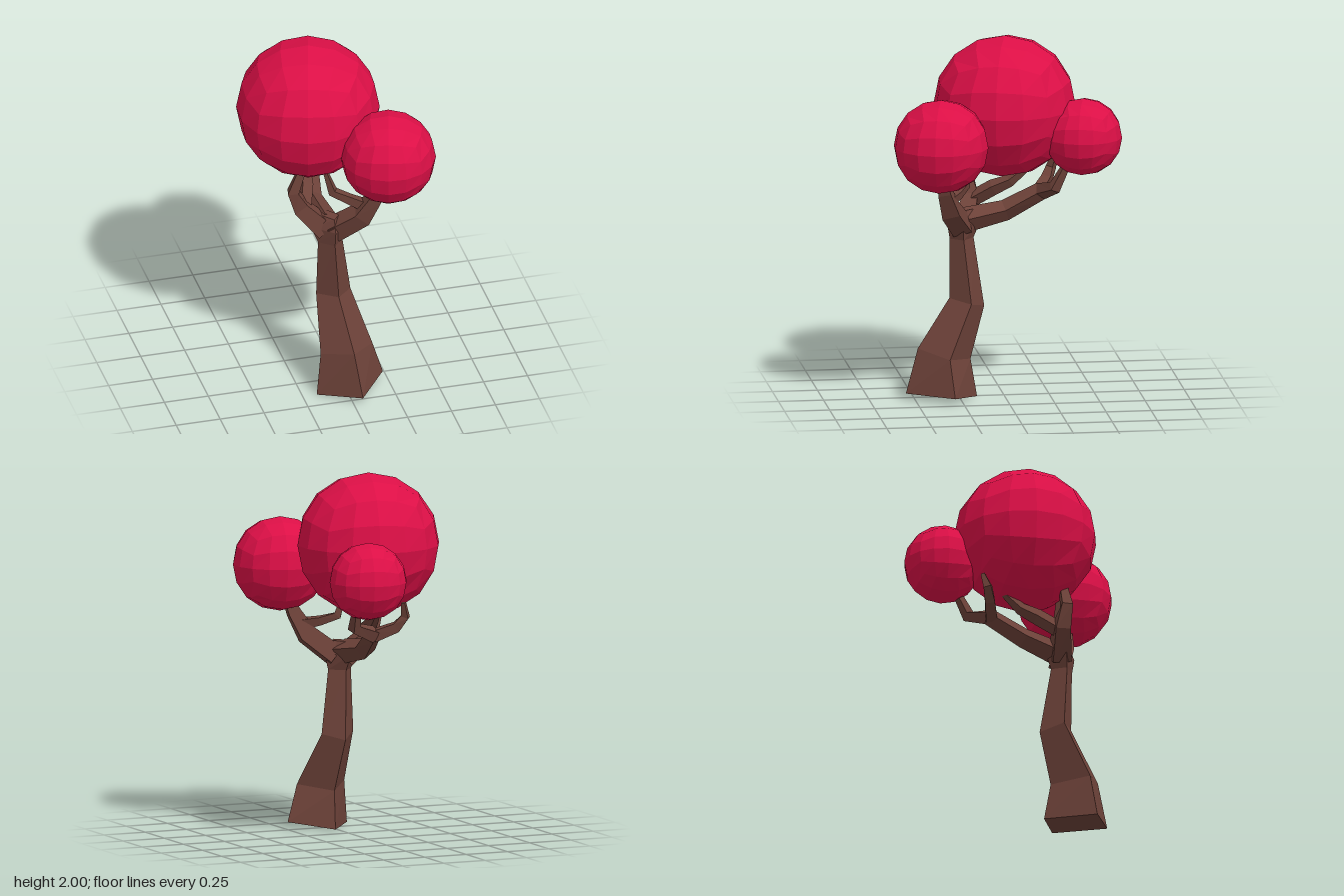
import * as THREE from 'three';

const bark = new THREE.MeshStandardMaterial({ color: 0x6d4239 });
bark.name = 'bark brown';
const leaf = new THREE.MeshStandardMaterial({ color: 0xdc0f46 });
leaf.name = 'leaf crimson';

// Faceted closed skin through rings of four corners, counter-clockwise about the growth direction
function loft(rings) {
  const n = rings[0].length;
  const index = [];
  for (let r = 0; r < rings.length - 1; r++) {
    for (let i = 0; i < n; i++) {
      const a = r * n + i, b = r * n + (i + 1) % n;
      index.push(a, b, b + n, a, b + n, a + n);
    }
  }
  const top = (rings.length - 1) * n;
  for (let i = 1; i < n - 1; i++) {
    index.push(0, i + 1, i, top, top + i, top + i + 1);
  }
  const g = new THREE.BufferGeometry();
  g.setAttribute('position', new THREE.Float32BufferAttribute(rings.flat(2), 3));
  g.setIndex(index);
  const flat = g.toNonIndexed();
  flat.computeVertexNormals();
  return flat;
}

// Square limb swept along stations [x, y, z, radius]
function limb(stations) {
  const pts = stations.map(s => new THREE.Vector3(s[0], s[1], s[2]));
  let u = new THREE.Vector3(0.7, 0, 0.7);
  const rings = pts.map((p, i) => {
    const t = pts[Math.min(i + 1, pts.length - 1)].clone()
      .sub(pts[Math.max(i - 1, 0)]).normalize();
    u = u.clone().addScaledVector(t, -u.dot(t)).normalize();
    const v = t.clone().cross(u);
    return [0, 1, 2, 3].map(k => {
      const a = k * Math.PI / 2;
      return p.clone().addScaledVector(u, Math.cos(a) * stations[i][3])
        .addScaledVector(v, Math.sin(a) * stations[i][3]).toArray();
    });
  });
  return loft(rings);
}

// Ball made from a cube with four by four faces per side
function cubeBall(radius) {
  const g = new THREE.BoxGeometry(2, 2, 2, 4, 4, 4).toNonIndexed();
  const pos = g.attributes.position;
  const v = new THREE.Vector3();
  const bend = c => Math.tan(c * Math.PI / 4);
  for (let i = 0; i < pos.count; i++) {
    v.fromBufferAttribute(pos, i);
    v.set(bend(v.x), bend(v.y), bend(v.z)).setLength(radius);
    pos.setXYZ(i, v.x, v.y, v.z);
  }
  g.computeVertexNormals();
  return g;
}

export function createModel() {
  const tree = new THREE.Group();
  tree.name = 'tree';
  const add = (name, geometry, material) => {
    const mesh = new THREE.Mesh(geometry, material);
    mesh.name = name;
    tree.add(mesh);
    return mesh;
  };

  // Leaning trunk: corners in the order front, right, back, left
  add('trunk', loft([
    [[0.05, 0.035, 0.55], [0.23, 0.035, 0.3], [0.01, 0, 0.15], [-0.17, 0, 0.39]],
    [[0.02, 0.28, 0.48], [0.165, 0.24, 0.32], [0, 0.21, 0.185], [-0.14, 0.24, 0.36]],
    [[-0.02, 0.55, 0.3], [0.075, 0.53, 0.19], [-0.03, 0.5, 0.105], [-0.125, 0.54, 0.21]],
    [[-0.04, 0.88, 0.295], [0.02, 0.88, 0.225], [-0.06, 0.88, 0.16], [-0.12, 0.88, 0.23]],
    [[-0.04, 0.97, 0.31], [0.04, 0.97, 0.23], [-0.07, 0.97, 0.12], [-0.155, 0.97, 0.21]],
    [[-0.04, 1.04, 0.28], [0, 1.04, 0.23], [-0.06, 1.04, 0.16], [-0.1, 1.04, 0.21]],
  ]), bark);

  // Main branches and their twigs
  const branches = {
    frontBranch: [[-0.03, 0.95, 0.23, 0.075], [0.11, 1.07, 0.31, 0.07],
      [0.17, 1.19, 0.35, 0.05], [0.2, 1.28, 0.37, 0.035]],
    frontTwig: [[0.13, 1.13, 0.32, 0.04], [0.05, 1.15, 0.26, 0.032],
      [-0.03, 1.18, 0.21, 0.03], [-0.07, 1.31, 0.2, 0.015]],
    leftBranch: [[-0.07, 0.95, 0.21, 0.075], [-0.2, 1.08, 0.16, 0.06],
      [-0.245, 1.19, 0.17, 0.042], [-0.2, 1.31, 0.17, 0.03]],
    leftTwig: [[-0.18, 1.07, 0.15, 0.045], [-0.14, 1.14, 0.04, 0.045],
      [-0.12, 1.18, -0.05, 0.035], [-0.11, 1.26, -0.15, 0.02]],
    backBranch: [[-0.06, 0.98, 0.2, 0.07], [-0.09, 1.02, -0.02, 0.058],
      [-0.05, 1.13, -0.21, 0.05], [0.09, 1.18, -0.27, 0.038], [0.1, 1.3, -0.33, 0.025]],
    backTwig: [[-0.06, 1.12, -0.2, 0.045], [-0.17, 1.17, -0.26, 0.038],
      [-0.21, 1.23, -0.29, 0.03], [-0.19, 1.31, -0.31, 0.015]],
  };
  for (const [name, stations] of Object.entries(branches)) add(name, limb(stations), bark);

  // Round crowns
  const crowns = [
    ['mainCrown', -0.11, 1.605, -0.02, 0.395],
    ['frontCrown', 0.24, 1.463, 0.38, 0.262],
    ['backCrown', 0.08, 1.46, -0.43, 0.215],
  ];
  for (const [name, x, y, z, radius] of crowns) {
    const crown = add(name, cubeBall(radius), leaf);
    crown.position.set(x, y, z);
    crown.rotation.y = -0.26;
  }
  return tree;
}
